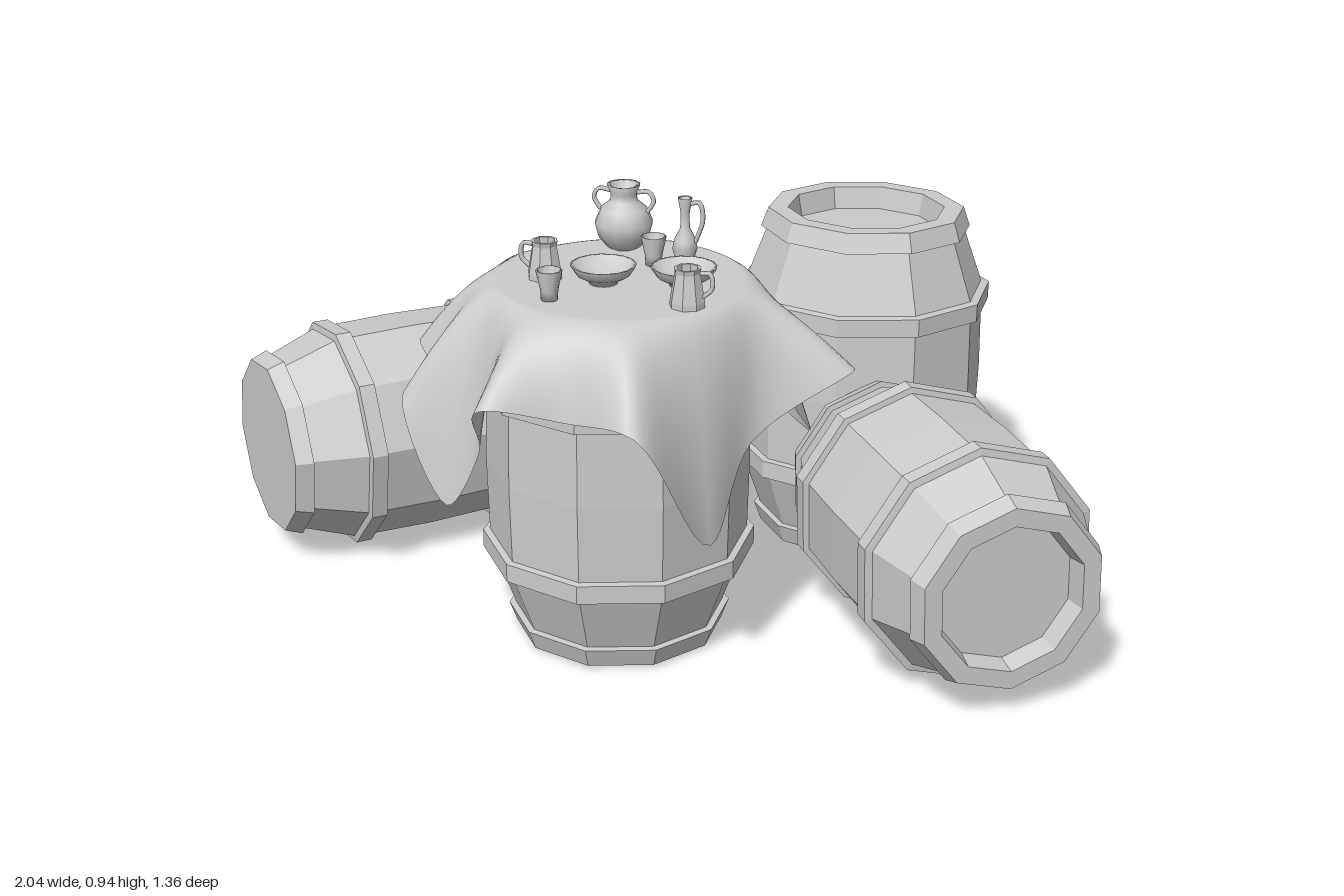
import * as THREE from 'three';
import { ParametricGeometry } from 'three/addons/geometries/ParametricGeometry.js';

const V2 = (a) => a.map(([r, y]) => new THREE.Vector2(r, y));
const flat = new THREE.MeshStandardMaterial({ color: 0xcccccc, flatShading: true, side: THREE.DoubleSide });
const smooth = new THREE.MeshStandardMaterial({ color: 0xcccccc, side: THREE.DoubleSide });

function add(parent, name, geometry, material) {
  const mesh = new THREE.Mesh(geometry, material);
  mesh.name = name;
  parent.add(mesh);
  return mesh;
}

// Ten-sided barrel with four hoops; its +y end is recessed, the other flat
const barrelProfile = V2([
  [0, -0.385], [0.222, -0.385], [0.238, -0.342], [0.224, -0.34],
  [0.272, -0.21], [0.29, -0.207], [0.29, -0.167], [0.275, -0.165], [0.279, 0],
  [0.275, 0.165], [0.29, 0.167], [0.29, 0.207], [0.272, 0.21],
  [0.224, 0.34], [0.238, 0.342], [0.222, 0.385], [0.178, 0.385], [0.168, 0.335], [0, 0.335],
]);
const barrelGeometry = new THREE.LatheGeometry(barrelProfile, 10);

function addBarrel(parent, name, position, axis, scale = 1) {
  const barrel = add(parent, name, barrelGeometry, flat);
  barrel.position.set(...position);
  barrel.quaternion.setFromUnitVectors(new THREE.Vector3(0, 1, 0), new THREE.Vector3(...axis).normalize());
  barrel.scale.setScalar(scale);
  return barrel;
}

// Tablecloth: flat disc bending down to a wavy hem, low at four corners
function clothGeometry() {
  // hem points: angle in degrees, radius, height
  const hem = [
    [0, 0.49, 0.65], [21, 0.33, 0.52], [45, 0.37, 0.35], [70, 0.45, 0.63], [90, 0.36, 0.62],
    [111, 0.45, 0.65], [126, 0.36, 0.5], [137, 0.4, 0.37], [150, 0.46, 0.58], [161, 0.4, 0.61],
    [173, 0.43, 0.64], [188, 0.39, 0.61], [206, 0.46, 0.65], [229, 0.4, 0.35], [256, 0.34, 0.52],
    [277, 0.49, 0.65], [296, 0.37, 0.52], [315, 0.47, 0.36], [333, 0.36, 0.52],
  ].map(([deg, r, y]) => {
    const a = THREE.MathUtils.degToRad(deg);
    return new THREE.Vector3(r * Math.cos(a), y, r * Math.sin(a));
  });
  const curve = new THREE.CatmullRomCurve3(hem, true);
  const top = 0.8, rim = 0.25, split = 0.3;
  return new ParametricGeometry((u, v, target) => {
    const p = curve.getPoint(u);
    const a = Math.atan2(p.z, p.x);
    const hemR = Math.hypot(p.x, p.z);
    let r, y;
    if (v < split) {
      r = Math.max(0.001, (rim * v) / split);
      y = top;
    } else {
      const t = (v - split) / (1 - split), s = 1 - t;
      r = s * s * rim + 2 * s * t * (rim + 0.07) + t * t * hemR;
      y = s * s * top + 2 * s * t * (top - 0.005) + t * t * p.y;
    }
    target.set(r * Math.cos(a), y, r * Math.sin(a));
  }, 152, 20);
}

// Tableware: a turned body with optional curved handles
function addVessel(parent, name, x, z, profile, sides, material, handlePath = null, angles = []) {
  const vessel = new THREE.Group();
  vessel.name = name;
  vessel.position.set(x, 0.8, z);
  add(vessel, name + 'Body', new THREE.LatheGeometry(V2(profile), sides), material);
  for (const angle of angles) {
    const path = new THREE.CatmullRomCurve3(handlePath.map(([r, y]) => new THREE.Vector3(r, y, 0)));
    add(vessel, name + 'Handle', new THREE.TubeGeometry(path, 12, 0.005, 6), smooth).rotation.y = angle;
  }
  parent.add(vessel);
}

export function createModel() {
  const model = new THREE.Group();
  model.name = 'barrelTableScene';

  // Barrels
  addBarrel(model, 'tableBarrel', [-0.01, 0.4, 0.25], [0, -1, 0]);
  addBarrel(model, 'standingBarrel', [0.38, 0.405, -0.39], [0, 1, -0.025]);
  addBarrel(model, 'leftLyingBarrel', [-0.635, 0.27, -0.105], [0.72, 0, -0.69], 0.9);
  addBarrel(model, 'rightLyingBarrel', [0.66, 0.27, 0.135], [0.56, 0, 0.83], 0.9);

  // Tablecloth
  add(model, 'tablecloth', clothGeometry(), smooth).position.set(0, 0, 0.25);

  // Two-handled jug
  addVessel(model, 'jug', -0.055, 0.055, [
    [0, 0], [0.035, 0], [0.055, 0.025], [0.063, 0.055], [0.05, 0.085], [0.03, 0.102],
    [0.028, 0.118], [0.036, 0.138], [0.028, 0.136], [0.02, 0.105], [0, 0.1],
  ], 12, smooth, [[0.03, 0.122], [0.055, 0.124], [0.066, 0.105], [0.052, 0.08]], [0, Math.PI]);

  // Slim ewer
  addVessel(model, 'ewer', 0.11, 0.165, [
    [0, 0], [0.018, 0], [0.016, 0.012], [0.026, 0.045], [0.022, 0.065], [0.01, 0.09],
    [0.009, 0.12], [0.015, 0.154], [0.01, 0.152], [0, 0.12],
  ], 10, smooth, [[0.012, 0.142], [0.03, 0.145], [0.038, 0.11], [0.022, 0.06]], [0]);

  // Bowls
  for (const [x, z] of [[-0.025, 0.295], [0.135, 0.262]]) {
    addVessel(model, 'bowl', x, z, [
      [0, 0], [0.03, 0], [0.03, 0.006], [0.055, 0.02], [0.068, 0.04],
      [0.062, 0.04], [0.045, 0.02], [0, 0.01],
    ], 16, smooth);
  }

  // Mugs
  for (const [x, z, angle] of [[-0.15, 0.295, Math.PI], [0.175, 0.38, 0]]) {
    addVessel(model, 'mug', x, z, [
      [0, 0], [0.036, 0], [0.036, 0.012], [0.026, 0.07], [0.028, 0.08],
      [0.022, 0.08], [0.022, 0.02], [0, 0.02],
    ], 8, flat, [[0.026, 0.07], [0.046, 0.07], [0.05, 0.04], [0.032, 0.022]], [angle]);
  }

  // Beakers
  for (const [x, z] of [[0.04, 0.155], [-0.098, 0.42]]) {
    addVessel(model, 'beaker', x, z, [
      [0, 0], [0.017, 0], [0.018, 0.02], [0.027, 0.062], [0.023, 0.062], [0.015, 0.015], [0, 0.015],
    ], 10, smooth);
  }

  return model;
}
